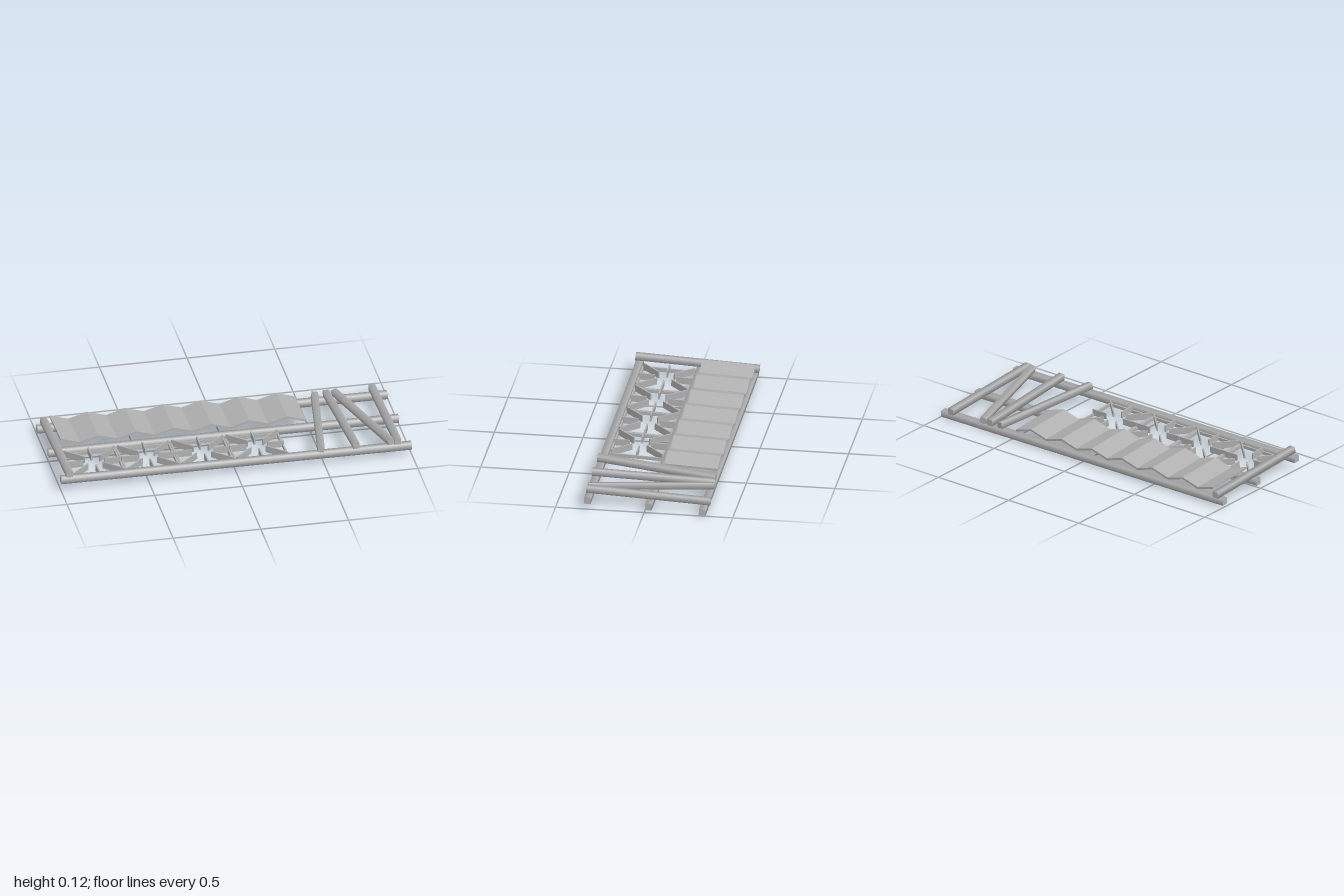
import * as THREE from 'three';

export function createModel() {
  const model = new THREE.Group();
  const frame = new THREE.Group();
  frame.name = 'tiltedFrame';
  model.add(frame);
  const steel = new THREE.MeshStandardMaterial({ color: 0xb0b0b0 });
  steel.name = 'grey steel';

  const add = (name, geometry, parent = frame) => {
    const mesh = new THREE.Mesh(geometry, steel);
    mesh.name = name;
    parent.add(mesh);
    return mesh;
  };

  // Square beam between two points, with softly shaded sides
  const beam = (name, a, b, width = 0.038) => {
    const start = new THREE.Vector3(...a), end = new THREE.Vector3(...b);
    const dir = end.clone().sub(start);
    const r = width / Math.SQRT2;
    const g = new THREE.CylinderGeometry(r, r, dir.length(), 4);
    g.rotateY(Math.PI / 4);
    const mesh = add(name, g);
    mesh.position.copy(start).add(end).multiplyScalar(0.5);
    mesh.quaternion.setFromUnitVectors(new THREE.Vector3(0, 1, 0), dir.normalize());
  };

  // Long rails
  for (const [name, z] of [['frontRail', 0.327], ['middleRail', -0.018], ['backRail', -0.322]]) {
    beam(name, [-1, 0.043, z], [1, 0.043, z]);
  }

  // Crossbars and slanted bars lying on the rails: front x, front z, back x, back z
  const bars = [
    ['rightCrossbar', -0.955, 0.35, -0.955, -0.35],
    ['leftCrossbar', 0.92, 0.345, 0.92, -0.357],
    ['slantedBar', 0.48, 0.348, 0.588, -0.335],
    ['slantedBar', 0.682, 0.348, 0.655, -0.342],
    ['slantedBar', 0.882, 0.338, 0.702, -0.342],
  ];
  for (const [name, x1, z1, x2, z2] of bars) beam(name, [x1, 0.082, z1], [x2, 0.082, z2], 0.036);

  // Four square panels with upright fins pointing at an open centre
  const size = 0.308, half = size / 2, edge = 0.01;
  for (let i = 0; i < 4; i++) {
    const panel = new THREE.Group();
    panel.name = 'finPanel';
    panel.position.set(-0.775 + i * 0.31, 0, 0.153);
    frame.add(panel);
    for (const s of [-1, 1]) {
      add('panelEdge', new THREE.BoxGeometry(size, 0.018, edge), panel)
        .position.set(0, 0.031, s * (half - edge / 2));
      add('panelEdge', new THREE.BoxGeometry(edge, 0.018, size), panel)
        .position.set(s * (half - edge / 2), 0.031, 0);
    }
    for (let k = 0; k < 8; k++) {
      const angle = k * Math.PI / 4;
      const inner = 0.06, outer = k % 2 ? 0.205 : half;
      const fin = add('fin', new THREE.BoxGeometry(outer - inner, 0.038, 0.008), panel);
      const mid = (inner + outer) / 2;
      fin.position.set(Math.cos(angle) * mid, 0.043, -Math.sin(angle) * mid);
      fin.rotation.y = angle;
    }
  }

  // Corrugated roof sheet: zigzag profile drawn across the bay
  const top = [];
  for (let i = 0; i <= 13; i++) top.push([-0.925 + i * 0.1077, i % 2 ? 0.085 : 0.117]);
  const outline = [...top, ...top.map(([x, y]) => [x, y - 0.012]).reverse()];
  const profile = new THREE.Shape(outline.map(([x, y]) => new THREE.Vector2(x, y)));
  const sheet = new THREE.ExtrudeGeometry(profile, { depth: 0.3, bevelEnabled: false });
  add('corrugatedRoof', sheet).position.z = -0.33;

  // The whole frame rests slightly out of level
  frame.rotation.set(-0.048, 0.004, -0.006);
  return model;
}
